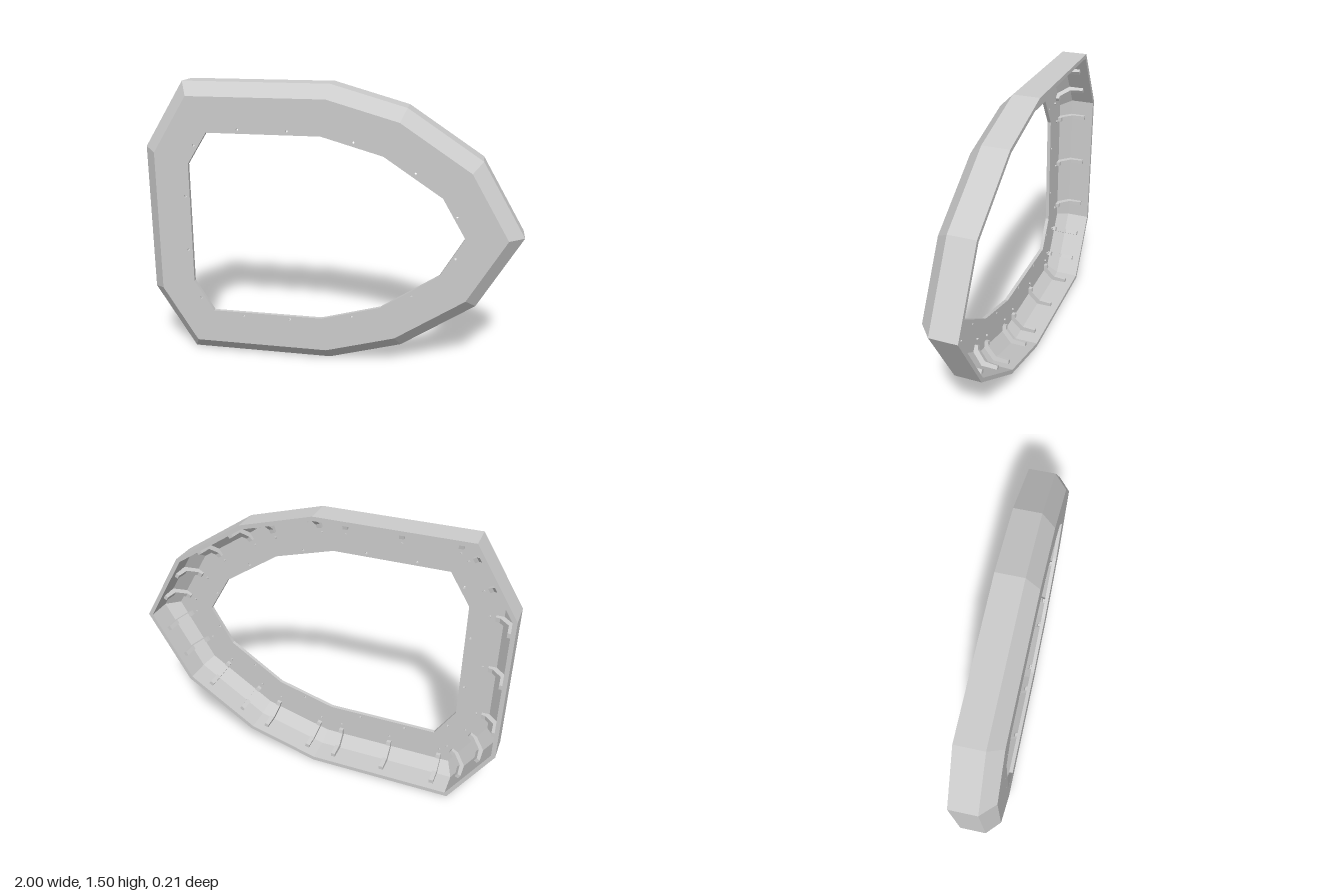
import * as THREE from 'three';

const MID = 0.75; // height of the mirror line
const mat = new THREE.MeshStandardMaterial({ color: 0xcccccc, flatShading: true, side: THREE.DoubleSide });

// Outer outline, counter-clockwise: lower half, tip, mirrored upper half
const lower = [[-1, 0.35], [-0.78, 0], [0, 0], [0.39, 0.11], [0.775, 0.365]];
const mirrorY = pts => pts.map(([x, y]) => [x, 2 * MID - y]).reverse();
const outline = [...lower, [1, MID], ...mirrorY(lower)].map(([x, y]) => new THREE.Vector2(x, y));
const N = outline.length;

// Edge frame: start, end, direction and inward normal
function edge(i) {
  const a = outline[(i + N) % N], b = outline[(i + 1) % N];
  const d = b.clone().sub(a).normalize();
  return { a, b, d, n: new THREE.Vector2(-d.y, d.x) };
}

// Mitred inset of the outline
function inset(dist) {
  return outline.map((p, i) => {
    const n0 = edge(i - 1).n, n1 = edge(i).n;
    return p.clone().addScaledVector(n0.clone().add(n1), dist / (1 + n0.dot(n1)));
  });
}

// Sweep an [inset, z] profile round the outline
function sweep(profile) {
  const rings = profile.map(([d, z]) => inset(d).map(p => [p.x, p.y, z]));
  const pos = [];
  for (let k = 0; k < rings.length - 1; k++) {
    for (let i = 0; i < N; i++) {
      const j = (i + 1) % N;
      const a = rings[k][i], b = rings[k][j], c = rings[k + 1][j], d = rings[k + 1][i];
      pos.push(...a, ...d, ...b, ...b, ...d, ...c);
    }
  }
  const g = new THREE.BufferGeometry();
  g.setAttribute('position', new THREE.Float32BufferAttribute(pos, 3));
  g.computeVertexNormals();
  return g;
}

export function createModel() {
  const model = new THREE.Group();
  const add = (name, geo, parent = model) => {
    const m = new THREE.Mesh(geo, mat);
    m.name = name;
    parent.add(m);
    return m;
  };

  // Outer wall with bevel, back rim and hollow inside
  add('frameShell', sweep([
    [0.07, 0.105], [0, 0.035], [0, -0.105], [0.022, -0.105], [0.022, 0.026], [0.081, 0.085],
  ]));

  // Front plate with the large opening and small screw holes
  const plate = new THREE.Shape(inset(0.07));
  plate.holes.push(new THREE.Path(inset(0.255).reverse()));
  const screws = [[-0.77, 0.6], [-0.71, 0.325], [-0.47, 0.235], [-0.21, 0.235],
    [0.13, 0.28], [0.445, 0.425], [0.66, 0.64]];
  for (const [x, y] of [...screws, ...mirrorY(screws)]) {
    plate.holes.push(new THREE.Path().absarc(x, y, 0.007, 0, Math.PI * 2, true));
  }
  const plateGeo = new THREE.ExtrudeGeometry(plate, { depth: 0.02, bevelEnabled: false, curveSegments: 4 });
  add('frontPlate', plateGeo.translate(0, 0, 0.085));

  // Bent brackets inside the shell, in (inset, z)
  const ribShape = new THREE.Shape([
    [0.02, -0.06], [0.042, -0.06], [0.048, 0.012], [0.098, 0.062], [0.12, 0.066], [0.12, 0.087],
    [0.08, 0.087], [0.02, 0.027],
  ].map(p => new THREE.Vector2(...p)));
  const ribGeo = new THREE.ExtrudeGeometry(ribShape, { depth: 0.024, bevelEnabled: false });
  ribGeo.translate(0, 0, -0.012);
  const pegGeo = new THREE.CylinderGeometry(0.006, 0.006, 0.012, 6);

  const three = [0.13, 0.5, 0.87], pair = [0.3, 0.7];
  const half = [pair, three, [0.17, 0.83], [0.25, 0.75], pair];
  const spacing = [...half, ...[...half].reverse(), three];
  spacing.forEach((ts, i) => {
    const { a, b, d, n } = edge(i);
    for (const t of ts) {
      const p = a.clone().lerp(b, t);
      const bracket = new THREE.Group();
      bracket.name = 'bracket';
      bracket.applyMatrix4(new THREE.Matrix4().makeBasis(
        new THREE.Vector3(n.x, n.y, 0), new THREE.Vector3(0, 0, 1), new THREE.Vector3(d.x, d.y, 0),
      ).setPosition(p.x, p.y, 0));
      add('bracketArm', ribGeo, bracket);
      // Small fastener on the plate beyond the foot
      add('bracketPeg', pegGeo, bracket).position.set(0.15, 0.081, 0);
      model.add(bracket);
    }
  });
  return model;
}
